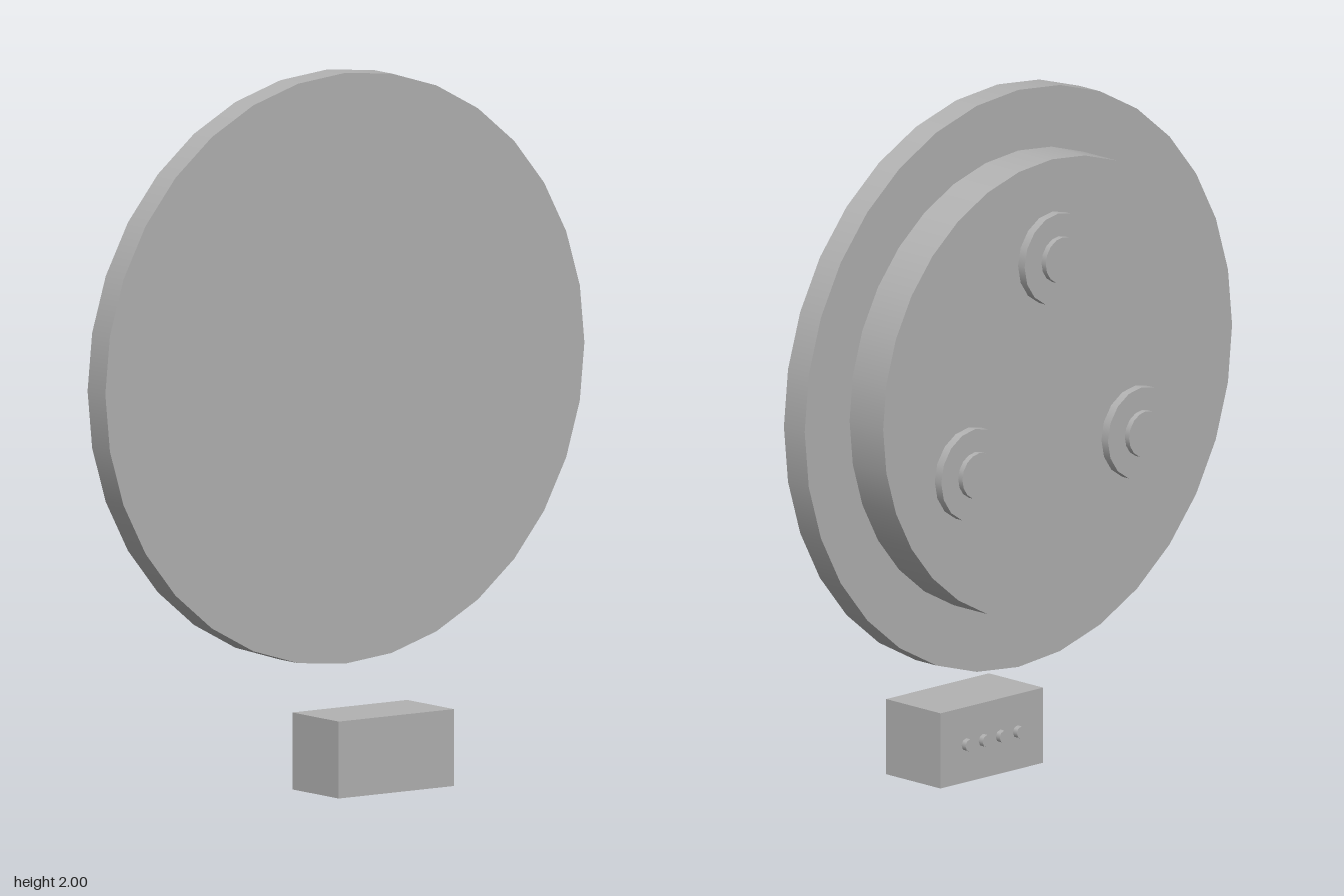
import * as THREE from 'three';

const grey = new THREE.MeshStandardMaterial({ color: 0xb2b2b2 });
grey.name = 'plain grey';

// Cylinder lying along z between two depths
function disc(name, radius, x, y, zFront, zBack, sides) {
  const geometry = new THREE.CylinderGeometry(radius, radius, zFront - zBack, sides);
  geometry.rotateX(Math.PI / 2);
  const mesh = new THREE.Mesh(geometry, grey);
  mesh.name = name;
  mesh.position.set(x, y, (zFront + zBack) / 2);
  return mesh;
}

export function createModel() {
  const model = new THREE.Group();
  model.name = 'roundPanelWithConnector';
  const centerY = 1.167;

  // Front plate and the narrower housing behind it
  model.add(disc('frontPlate', 0.833, 0, centerY, 0.01, -0.073, 32));
  model.add(disc('rearHousing', 0.658, 0, centerY, -0.073, -0.207, 32));

  // Three stepped feet, evenly spaced around the back
  for (let i = 0; i < 3; i++) {
    const angle = Math.PI / 2 + (i * Math.PI * 2) / 3;
    const x = 0.375 * Math.cos(angle);
    const y = centerY + 0.375 * Math.sin(angle);
    const foot = new THREE.Group();
    foot.name = 'rearFoot';
    foot.add(disc('footBase', 0.132, x, y, -0.207, -0.233, 16));
    foot.add(disc('footCap', 0.066, x, y, -0.233, -0.25, 16));
    model.add(foot);
  }

  // Separate connector block below, with a row of pins on its back
  const block = new THREE.Mesh(new THREE.BoxGeometry(0.4, 0.217, 0.217), grey);
  block.name = 'connectorBlock';
  block.position.set(0, 0.1085, 0.1415);
  model.add(block);
  for (let i = 0; i < 4; i++) {
    model.add(disc('connectorPin', 0.018, -0.1 + i * 0.0667, 0.109, 0.033, 0.017, 8));
  }
  return model;
}
